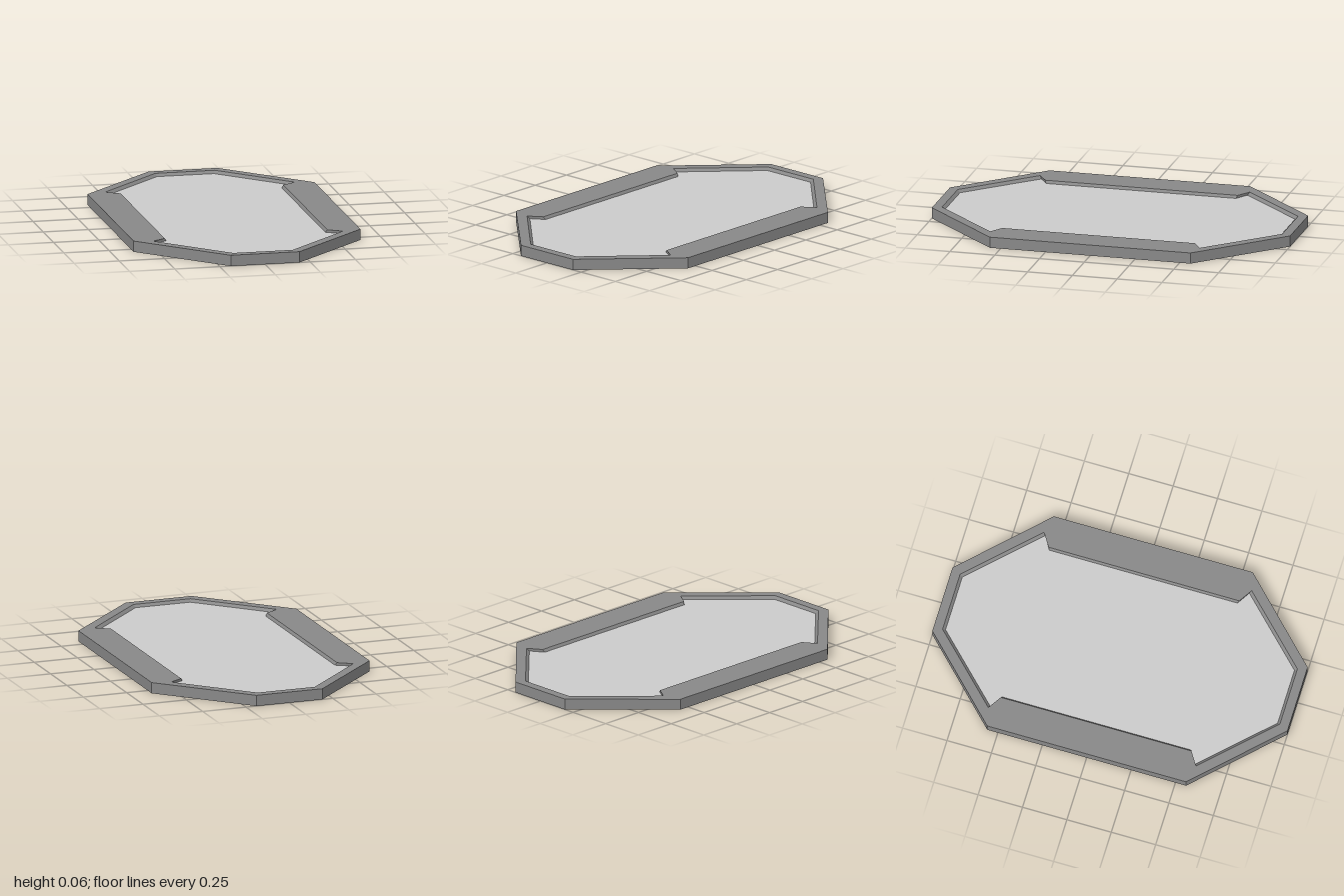
import * as THREE from 'three';

// Mirrors one quadrant's [x, z] corners into a full closed outline, running from +z towards +x.
function outline(quadrant) {
  const back = [...quadrant].reverse();
  return [
    ...quadrant,
    ...back.map(([x, z]) => [x, -z]),
    ...quadrant.map(([x, z]) => [-x, -z]),
    ...back.map(([x, z]) => [-x, z]),
  ];
}

// Joins successive outlines (each at its own height) into a closed ring.
function ringGeometry(loops) {
  const positions = [];
  loops.forEach((low, k) => {
    const high = loops[(k + 1) % loops.length];
    const n = low.points.length;
    for (let i = 0; i < n; i++) {
      const j = (i + 1) % n;
      const at = (loop, m) => [loop.points[m][0], loop.y, loop.points[m][1]];
      const a = at(low, i), b = at(low, j), c = at(high, j), d = at(high, i);
      positions.push(...a, ...b, ...c, ...a, ...c, ...d);
    }
  });
  const geometry = new THREE.BufferGeometry();
  geometry.setAttribute('position', new THREE.Float32BufferAttribute(positions, 3));
  geometry.computeVertexNormals();
  return geometry;
}

export function createModel() {
  const model = new THREE.Group();
  model.name = 'octagonalPanel';
  const height = 0.06;

  const outer = outline([[0.19, 1], [0.628, 0.56], [0.628, 0.54]]);
  const lip = outline([[0.165, 0.95], [0.525, 0.585], [0.45, 0.537]]);
  const waist = outline([[0.158, 0.935], [0.513, 0.575], [0.44, 0.53]]);

  // Frame: narrow ends, wide side rails, inner lip sloping down to the panel
  const frame = new THREE.Mesh(
    ringGeometry([
      { points: outer, y: 0 },
      { points: outer, y: height },
      { points: lip, y: height },
      { points: waist, y: 0.045 },
      { points: waist, y: 0.015 },
      { points: lip, y: 0 },
    ]),
    new THREE.MeshStandardMaterial({ color: 0x888888 })
  );
  frame.name = 'frame';
  model.add(frame);

  // Panel: flat slab set into the frame, recessed on both faces
  const shape = new THREE.Shape(waist.map(([x, z]) => new THREE.Vector2(x, -z)));
  const slab = new THREE.ExtrudeGeometry(shape, { depth: 0.03, bevelEnabled: false });
  slab.rotateX(-Math.PI / 2).translate(0, 0.015, 0);
  const panel = new THREE.Mesh(slab, new THREE.MeshStandardMaterial({ color: 0xcccccc }));
  panel.name = 'panel';
  model.add(panel);

  return model;
}
